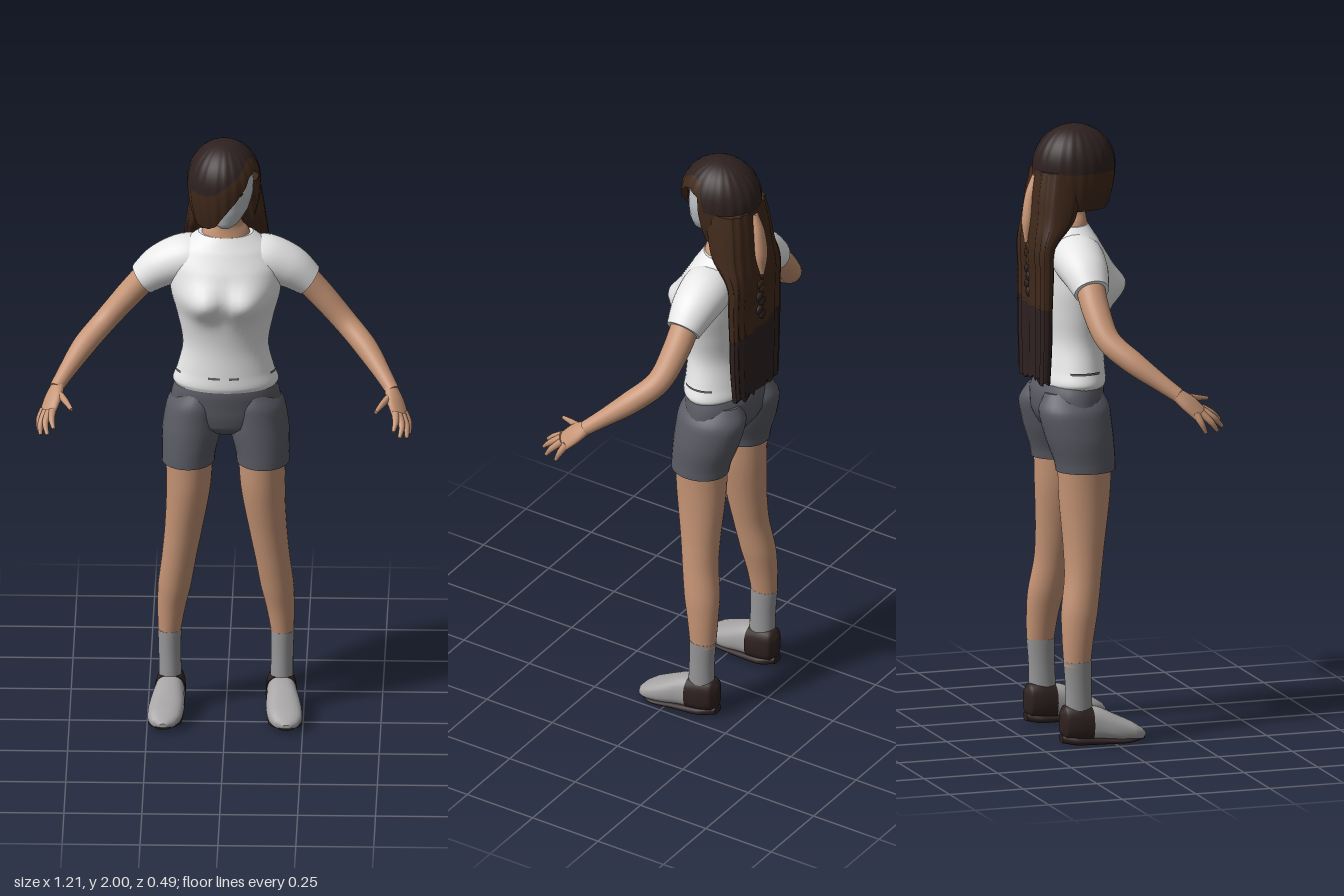
import * as THREE from 'three';

const mat = (name, color) => Object.assign(new THREE.MeshStandardMaterial({ color }), { name });
const M = {
  skin: mat('skin', 0xc59475), face: mat('paleFace', 0xbcc0c4), shirt: mat('whiteCotton', 0xeaeaea),
  shorts: mat('slateCloth', 0x5a5b64), sock: mat('greySock', 0x969698), shoe: mat('greyShoe', 0xa6a4a4),
  dark: mat('darkHair', 0x2e2120), brown: mat('brownHair', 0x40291b), tan: mat('tanTie', 0xcc9878),
  ink: mat('darkStitch', 0x66666c),
};
M.brown.side = M.dark.side = THREE.DoubleSide;
const V = (x, y, z) => new THREE.Vector3(x, y, z);

function add(parent, name, geo, material) {
  const mesh = new THREE.Mesh(geo, material);
  mesh.name = name;
  parent.add(mesh);
  return mesh;
}

// Smooth loft through stations [x, y, z, a, b]; b lies along ref, a across it.
// axis fixes the ring direction, otherwise rings follow the path.
function loft(pts, { axis = null, ref = V(0, 0, 1), n = 28, steps = 5, e = 1, rule = null } = {}) {
  const path = new THREE.CatmullRomCurve3(pts.map(p => V(p[0], p[1], p[2])));
  const radii = new THREE.CatmullRomCurve3(pts.map(p => V(p[3], p[4], 0)));
  const rows = (pts.length - 1) * steps, pos = [], idx = [];
  const pw = c => Math.sign(c) * Math.abs(c) ** e;
  for (let j = 0; j <= rows; j++) {
    const t = j / rows, c = path.getPoint(t), r = radii.getPoint(t);
    const d = axis ? axis.clone() : path.getTangent(t);
    const v = ref.clone().addScaledVector(d, -ref.dot(d)).normalize();
    const u = v.clone().cross(d);
    for (let i = 0; i < n; i++) {
      const a = i / n * Math.PI * 2;
      const p = c.clone().addScaledVector(u, pw(Math.cos(a)) * r.x).addScaledVector(v, pw(Math.sin(a)) * r.y);
      if (rule) rule(p, t, a);
      pos.push(p.x, p.y, p.z);
    }
  }
  for (let j = 0; j < rows; j++) for (let i = 0; i < n; i++) {
    const a = j * n + i, b = j * n + (i + 1) % n;
    idx.push(a, b, b + n, a, b + n, a + n);
  }
  // end caps with their own vertices
  for (const row of [0, rows]) {
    const base = pos.length / 3, c = V(0, 0, 0);
    for (let i = 0; i < n; i++) {
      const k = (row * n + i) * 3;
      c.add(V(pos[k], pos[k + 1], pos[k + 2]));
      pos.push(pos[k], pos[k + 1], pos[k + 2]);
    }
    c.divideScalar(n);
    pos.push(c.x, c.y, c.z);
    for (let i = 0; i < n; i++) {
      const a = base + i, b = base + (i + 1) % n;
      row ? idx.push(a, b, base + n) : idx.push(b, a, base + n);
    }
  }
  const g = new THREE.BufferGeometry();
  g.setAttribute('position', new THREE.Float32BufferAttribute(pos, 3));
  g.setIndex(idx);
  g.computeVertexNormals();
  return g;
}
const UP = { axis: V(0, 1, 0) }, DOWN = { axis: V(0, -1, 0) };

function buildTorso(g) {
  const bust = p => {
    const front = THREE.MathUtils.smoothstep(p.z, -0.07, 0.03);
    p.z += 0.043 * front * Math.exp(-(((Math.abs(p.x) - 0.07) / 0.06) ** 2) - ((p.y - 1.475) / 0.06) ** 2);
  };
  add(g, 'shirtBody', loft([
    [0, 1.155, -0.083, 0.163, 0.105], [0, 1.17, -0.083, 0.17, 0.109], [0, 1.21, -0.08, 0.156, 0.104],
    [0, 1.3, -0.073, 0.138, 0.095], [0, 1.4, -0.07, 0.155, 0.106], [0, 1.49, -0.065, 0.177, 0.117],
    [0, 1.57, -0.075, 0.18, 0.108], [0, 1.63, -0.088, 0.15, 0.09], [0, 1.665, -0.092, 0.105, 0.072],
    [0, 1.677, -0.092, 0.088, 0.065]], { ...UP, n: 48, steps: 6, rule: bust }), M.shirt);
  add(g, 'neck', loft([[0, 1.65, -0.088, 0.088, 0.068], [0, 1.69, -0.086, 0.072, 0.056],
    [0, 1.72, -0.08, 0.052, 0.048], [0, 1.8, -0.065, 0.048, 0.046]], UP), M.skin);
  // stitched pocket lines as thin curved strips
  for (const [mid, len] of [[0.18, 0.2], [-0.22, 0.25], [1.57, 0.95], [-1.57, 0.95]]) {
    const strip = new THREE.CylinderGeometry(1, 1, 0.008, 16, 1, true, mid - len / 2, len);
    add(g, 'stitchLine', strip.scale(0.162, 1, 0.108).translate(0, 1.207, -0.08), M.ink);
  }
  add(g, 'shortsHips', loft([[0, 1.18, -0.085, 0.155, 0.1], [0, 1.13, -0.092, 0.172, 0.112],
    [0, 1.07, -0.093, 0.18, 0.108], [0, 1.02, -0.085, 0.15, 0.09], [0, 0.99, -0.08, 0.06, 0.05]], DOWN), M.shorts);
}

// Left side limbs; the right side is built with s = -1.
function buildSide(g, s) {
  const m = pts => pts.map(([x, ...rest]) => [x * s, ...rest]);
  const side = new THREE.Group();
  side.name = s > 0 ? 'leftLimbs' : 'rightLimbs';
  g.add(side);
  add(side, 'sleeve', loft(m([[0.05, 1.595, -0.09, 0.06, 0.075], [0.13, 1.58, -0.098, 0.078, 0.085],
    [0.205, 1.55, -0.1, 0.07, 0.076], [0.268, 1.503, -0.1, 0.053, 0.058]])), M.shirt);
  add(side, 'arm', loft(m([[0.25, 1.518, -0.1, 0.045, 0.047], [0.31, 1.45, -0.1, 0.042, 0.045],
    [0.385, 1.365, -0.083, 0.038, 0.04], [0.45, 1.305, -0.025, 0.037, 0.038],
    [0.51, 1.24, 0.055, 0.027, 0.028], [0.54, 1.205, 0.1, 0.022, 0.024]])), M.skin);
  const across = V(-0.6 * s, 0.2, 0.75).normalize();
  add(side, 'palm', loft(m([[0.533, 1.213, 0.09, 0.019, 0.023], [0.551, 1.178, 0.132, 0.018, 0.037],
    [0.566, 1.145, 0.165, 0.014, 0.036]]), { ref: across, n: 16 }), M.skin);
  const fingers = [
    [[0.54, 1.2, 0.11], [0.51, 1.188, 0.165], [0.488, 1.178, 0.215]],
    [[0.55, 1.16, 0.178], [0.552, 1.142, 0.21], [0.545, 1.12, 0.237]],
    [[0.56, 1.155, 0.175], [0.572, 1.13, 0.21], [0.565, 1.1, 0.24]],
    [[0.572, 1.15, 0.165], [0.587, 1.12, 0.195], [0.588, 1.09, 0.216]],
    [[0.578, 1.15, 0.145], [0.593, 1.12, 0.16], [0.595, 1.088, 0.175]]];
  fingers.forEach((f, i) => add(side, i ? 'finger' : 'thumb', loft(
    m(f.map((p, k) => [...p, [0.013, 0.0105, 0.006][k], [0.013, 0.0105, 0.006][k]])), { n: 10, ref: across }), M.skin));

  add(side, 'shortsLeg', loft(m([[0.085, 1.14, -0.098, 0.06, 0.095], [0.098, 1.08, -0.1, 0.092, 0.118],
    [0.108, 1, -0.088, 0.096, 0.112], [0.118, 0.92, -0.073, 0.086, 0.1], [0.12, 0.888, -0.07, 0.085, 0.097]]), DOWN), M.shorts);
  add(side, 'leg', loft(m([[0.117, 0.94, -0.072, 0.078, 0.09], [0.119, 0.8, -0.074, 0.072, 0.084],
    [0.136, 0.64, -0.082, 0.061, 0.067], [0.15, 0.54, -0.09, 0.056, 0.06], [0.164, 0.44, -0.105, 0.054, 0.06],
    [0.175, 0.35, -0.115, 0.045, 0.052], [0.182, 0.26, -0.12, 0.036, 0.044]]), DOWN), M.skin);
  add(side, 'sock', loft(m([[0.181, 0.275, -0.119, 0.038, 0.046], [0.18, 0.18, -0.115, 0.036, 0.043],
    [0.178, 0.07, -0.112, 0.038, 0.046]]), DOWN), M.sock);
  // shoes run from heel to toe
  const alongZ = { axis: V(0, 0, 1), ref: V(0, 1, 0), e: 0.8 };
  add(side, 'shoeUpper', loft(m([[0.178, 0.07, -0.1, 0.046, 0.058], [0.182, 0.066, -0.05, 0.05, 0.054],
    [0.188, 0.05, 0.01, 0.057, 0.042], [0.194, 0.038, 0.06, 0.054, 0.03], [0.197, 0.03, 0.09, 0.038, 0.018],
    [0.198, 0.027, 0.104, 0.012, 0.006]]), alongZ), M.shoe);
  add(side, 'shoeHeel', loft(m([[0.175, 0.075, -0.175, 0.014, 0.035], [0.175, 0.075, -0.16, 0.038, 0.055],
    [0.177, 0.073, -0.12, 0.048, 0.063], [0.179, 0.068, -0.075, 0.051, 0.058]]), alongZ), M.dark);
  add(side, 'shoeSole', loft(m([[0.175, 0.022, -0.172, 0.02, 0.014], [0.177, 0.016, -0.12, 0.046, 0.016],
    [0.184, 0.013, -0.03, 0.05, 0.013], [0.193, 0.013, 0.04, 0.054, 0.011], [0.198, 0.019, 0.098, 0.022, 0.008]]),
    alongZ), M.dark);
}

// Hair shell: a dome whose lower edge height depends on the angle around the head.
function hairShell(from, to) {
  const edge = [[-180, 1.73], [-80, 1.73], [-32, 1.73], [-14, 1.745], [0, 1.785], [25, 1.85], [48, 1.91],
    [62, 1.92], [80, 1.905], [92, 1.74], [180, 1.73]];
  const low = a => {
    const k = Math.max(1, edge.findIndex(p => p[0] >= a));
    const [a0, y0] = edge[k - 1], [a1, y1] = edge[k];
    return y0 + (y1 - y0) * (a - a0) / (a1 - a0);
  };
  const geo = new THREE.PlaneGeometry(1, 1, 90, 16), p = geo.attributes.position;
  for (let i = 0; i < p.count; i++) {
    const deg = THREE.MathUtils.clamp(p.getX(i) * 360, -180, 180), a = deg * Math.PI / 180;
    const t = from + (to - from) * (0.5 - p.getY(i));
    const drop = (2 - low(deg)) * t ** 1.5, h = 1 - drop / 0.13;
    const r = (h > 0 ? Math.sqrt(Math.max(0, 1 - h * h)) : 1 - 0.17 * h * h) * (1 + 0.012 * Math.sin(a * 22));
    p.setXYZ(i, -0.005 + Math.sin(a) * r * 0.118, 2 - drop, -0.07 + Math.cos(a) * r * 0.134);
  }
  geo.computeVertexNormals();
  return geo;
}

function buildHead(g) {
  add(g, 'face', loft([[0, 1.727, -0.005, 0.018, 0.018], [0, 1.742, -0.02, 0.042, 0.046],
    [0, 1.785, -0.045, 0.074, 0.08], [0, 1.85, -0.06, 0.09, 0.096], [0, 1.92, -0.062, 0.085, 0.09],
    [0, 1.965, -0.065, 0.05, 0.055]], UP), M.face);
  add(g, 'nose', new THREE.SphereGeometry(1, 12, 8).scale(0.01, 0.02, 0.016).translate(0, 1.815, 0.036), M.face);
  for (const s of [-1, 1]) {
    const eye = add(g, 'eye', new THREE.SphereGeometry(1, 14, 8).scale(0.017, 0.009, 0.004), M.dark);
    eye.position.set(0.042 * s, 1.853, 0.026);
    eye.rotation.y = 0.45 * s;
    const brow = add(g, 'brow', new THREE.BoxGeometry(0.036, 0.005, 0.006), M.dark);
    brow.position.set(0.043 * s, 1.88, 0.025);
    brow.rotation.set(0, 0.45 * s, 0.1 * s);
  }
  add(g, 'hairCrown', hairShell(0, 0.66), M.dark);
  add(g, 'hairFringe', hairShell(0.66, 1), M.brown);

  // long hair down the back, with strand grooves and a ragged end
  const grooves = (p, t, a) => { p.z += 0.004 * Math.sin(a * 16); };
  add(g, 'backHairUpper', loft([[0, 1.86, -0.125, 0.105, 0.075], [0, 1.78, -0.138, 0.118, 0.075],
    [0, 1.7, -0.155, 0.128, 0.065], [0, 1.62, -0.195, 0.136, 0.032], [0, 1.52, -0.198, 0.136, 0.026],
    [0, 1.42, -0.2, 0.134, 0.024]], { ...DOWN, n: 64, e: 0.7, rule: grooves }), M.brown);
  add(g, 'backHairLower', loft([[0, 1.43, -0.2, 0.134, 0.024], [0, 1.3, -0.2, 0.13, 0.023], [0, 1.18, -0.202, 0.122, 0.02]],
    { ...DOWN, n: 64, e: 0.7, rule: (p, t, a) => { grooves(p, t, a); p.y += 0.012 * t * Math.sin(p.x * 130); } }), M.dark);

  // hair tie and the braid below it
  add(g, 'hairTie', loft([[0, 1.84, -0.198, 0.012, 0.012], [0, 1.78, -0.215, 0.022, 0.017],
    [0, 1.7, -0.224, 0.025, 0.02], [0, 1.62, -0.224, 0.008, 0.012]], { n: 14, ...DOWN }), M.tan);
  for (let i = 0; i < 7; i++) {
    const bead = add(g, 'braidStrand', new THREE.SphereGeometry(1, 12, 8).scale(0.016, 0.018, 0.01), i < 3 ? M.brown : M.dark);
    bead.position.set(0.007 * (i % 2 ? 1 : -1), 1.61 - i * 0.025, -0.223);
    bead.rotation.z = i % 2 ? 0.6 : -0.6;
  }
}

export function createModel() {
  const g = new THREE.Group();
  g.name = 'standingFigure';
  buildTorso(g);
  for (const s of [1, -1]) buildSide(g, s);
  buildHead(g);
  return g;
}
